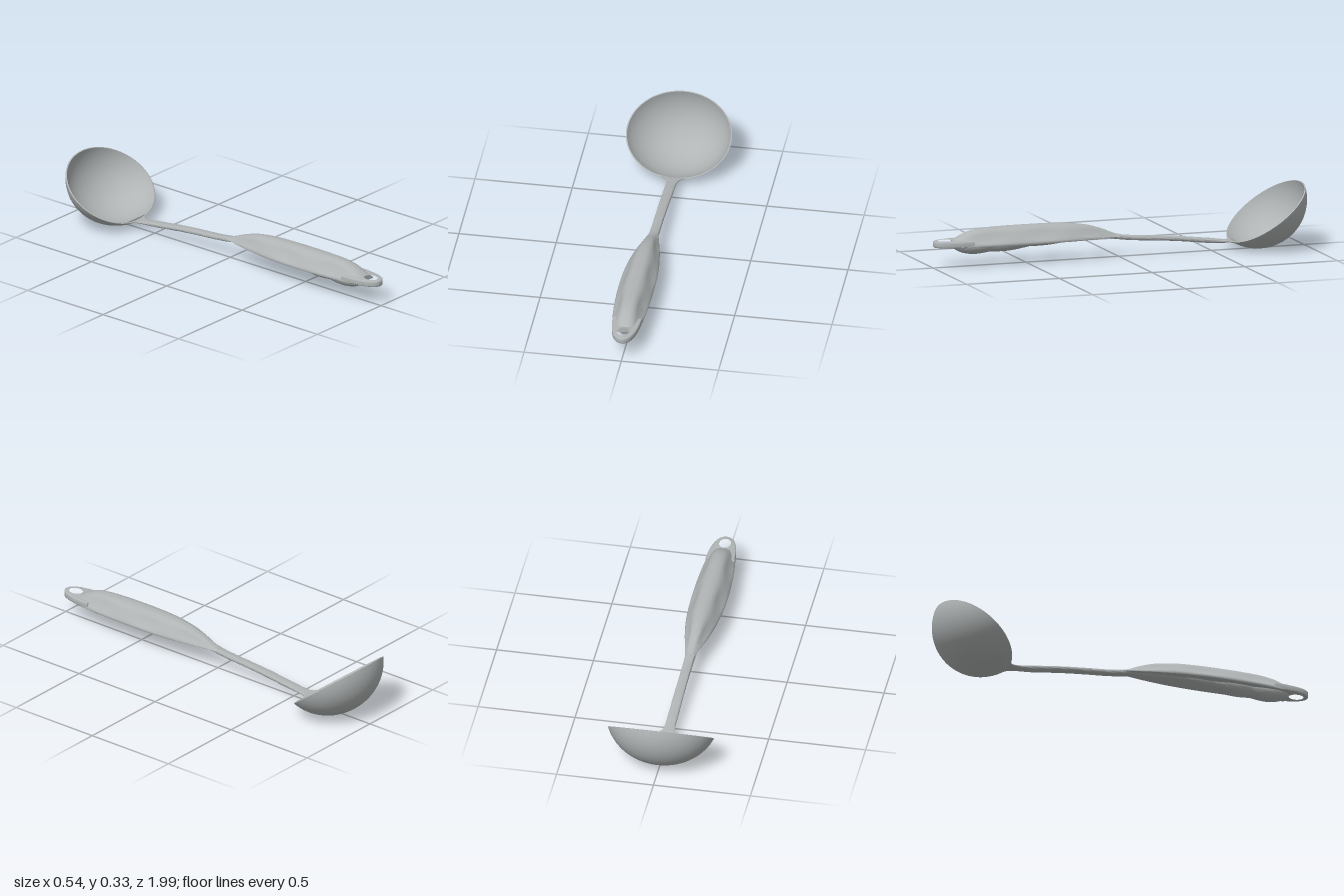
import * as THREE from 'three';
import { toCreasedNormals } from 'three/addons/utils/BufferGeometryUtils.js';

// Skin a closed solid over cross-sections; rows of [a, b, z] are smoothed along z.
// section(a, b, z) returns [x, y] points, counter-clockwise seen from +z.
function loft(rows, steps, section, crease) {
  const curve = new THREE.CatmullRomCurve3(rows.map(r => new THREE.Vector3(...r)));
  const pos = [], index = [];
  let n = 0;
  for (let i = 0; i <= steps; i++) {
    const p = curve.getPoint(i / steps);
    const ring = section(p.x, p.y, p.z);
    n = ring.length;
    ring.forEach(([x, y]) => pos.push(x, y, p.z));
  }
  for (let i = 0; i < steps; i++) {
    for (let j = 0; j < n; j++) {
      const a = i * n + j, b = i * n + (j + 1) % n;
      index.push(a, b, b + n, a, b + n, a + n);
    }
  }
  const last = steps * n;
  for (let j = 1; j < n - 1; j++) {
    index.push(0, j + 1, j, last, last + j, last + j + 1);
  }
  const geo = new THREE.BufferGeometry();
  geo.setAttribute('position', new THREE.Float32BufferAttribute(pos, 3));
  geo.setIndex(index);
  return toCreasedNormals(geo, crease);
}

export function createModel() {
  const group = new THREE.Group();
  const grey = new THREE.MeshStandardMaterial({ color: 0xb0b4b4 });
  grey.name = 'grey';
  const add = (name, geo) => {
    const mesh = new THREE.Mesh(geo, grey);
    mesh.name = name;
    group.add(mesh);
    return mesh;
  };

  // Bowl: thin spherical cap, tilted and widened
  const R = 0.2527, wall = 0.006, half = THREE.MathUtils.degToRad(70), N = 28;
  const profile = [];
  for (let i = 0; i <= N; i++) {
    const t = half * i / N;
    profile.push(new THREE.Vector2(R * Math.sin(t), -R * Math.cos(t)));
  }
  for (let i = N; i >= 0; i--) {
    const t = half * i / N, r = R - wall;
    profile.push(new THREE.Vector2(r * Math.sin(t), -r * Math.cos(t)));
  }
  const bowl = add('bowl', toCreasedNormals(new THREE.LatheGeometry(profile, 72), 0.7));
  bowl.scale.x = 1.145;
  bowl.rotation.x = 0.6435;
  bowl.position.set(0, 0.2566, -0.743);

  // Shaft: flattened rod that flares where it joins the bowl
  const shaftRows = [
    [0.085, 0.039, -0.624], [0.062, 0.043, -0.612], [0.038, 0.046, -0.594], [0.028, 0.049, -0.56],
    [0.026, 0.059, -0.46], [0.025, 0.076, -0.32], [0.024, 0.088, -0.18], [0.024, 0.097, -0.06],
    [0.025, 0.108, 0.02], [0.025, 0.118, 0.08],
  ];
  add('shaft', loft(shaftRows, 70, (w, y, z) => {
    const h = THREE.MathUtils.clamp(0.004 + (z + 0.624) * 0.06, 0.004, 0.012);
    return Array.from({ length: 24 }, (_, j) => {
      const t = j / 24 * Math.PI * 2;
      const x = w * Math.sign(Math.cos(t)) * Math.abs(Math.cos(t)) ** 0.6;
      return [x, y + h * Math.sign(Math.sin(t)) * Math.abs(Math.sin(t)) ** 0.6 + 1.7 * x * x];
    });
  }, 0.9));

  // Handle shell: flat underneath, sloping scooped sides and a rounded ridge
  const base = 0.108;
  const shellRows = [
    [0.025, 0.117, -0.01], [0.033, 0.128, 0.03], [0.047, 0.153, 0.09], [0.064, 0.177, 0.17],
    [0.081, 0.192, 0.28], [0.090, 0.197, 0.4], [0.092, 0.198, 0.52], [0.089, 0.197, 0.64],
    [0.083, 0.193, 0.74], [0.076, 0.181, 0.81], [0.070, 0.160, 0.86], [0.066, 0.141, 0.892],
  ];
  add('handleShell', loft(shellRows, 64, (w, top, z) => {
    const h = top - base;
    const scoop = 0.07 * Math.sin(z * 11) ** 2;
    const side = [[0.97, 0], [1, 0.06], [0.98, 0.15], [0.88, 0.29 - scoop], [0.75 - scoop, 0.48],
      [0.62 - scoop, 0.68], [0.47, 0.86], [0.3, 0.95], [0.14, 0.99]];
    const points = [...side, [0, 1], ...side.slice().reverse().map(([x, y]) => [-x, y])];
    const shift = -0.006 * Math.sin(Math.PI * THREE.MathUtils.clamp(z / 0.9, 0, 1));
    return points.map(([x, y]) => [x * w + shift, base + y * h]);
  }, 0.8));

  // Hanging end: rounded slab with an oval hole
  const outline = new THREE.Shape();
  outline.moveTo(-0.077, 0.8);
  outline.bezierCurveTo(-0.072, 0.86, -0.064, 0.998, 0, 0.998);
  outline.bezierCurveTo(0.064, 0.998, 0.072, 0.86, 0.073, 0.8);
  outline.closePath();
  const hole = new THREE.Path();
  hole.absellipse(-0.002, 0.935, 0.036, 0.044, 0, Math.PI * 2, true);
  outline.holes.push(hole);
  const endGeo = new THREE.ExtrudeGeometry(outline, {
    depth: 0.02, bevelThickness: 0.006, bevelSize: 0.006, bevelOffset: -0.006,
    bevelSegments: 3, curveSegments: 28,
  });
  endGeo.rotateX(Math.PI / 2);
  add('hangingEnd', toCreasedNormals(endGeo, 0.7)).position.y = 0.135;

  // Finger grip: scalloped rounded keel below the shell
  const gripRows = [
    [0.012, 0.006, 0.03], [0.022, 0.009, 0.1], [0.032, 0.011, 0.2], [0.040, 0.015, 0.3],
    [0.046, 0.022, 0.4], [0.050, 0.029, 0.5], [0.053, 0.038, 0.6], [0.053, 0.044, 0.7],
    [0.050, 0.043, 0.79], [0.042, 0.033, 0.85], [0.026, 0.016, 0.882], [0.006, 0.003, 0.893],
  ];
  add('fingerGrip', loft(gripRows, 80, (w, d, z) => {
    const lobe = 0.86 + 0.18 * Math.abs(Math.sin(Math.PI * (z - 0.06) / 0.21));
    return Array.from({ length: 21 }, (_, j) => {
      const t = Math.PI + j / 20 * Math.PI;
      return [w * lobe * Math.cos(t) - 0.008, base + 0.003 + (d + 0.003) * lobe * Math.sin(t)];
    });
  }, 0.8));

  return group;
}
